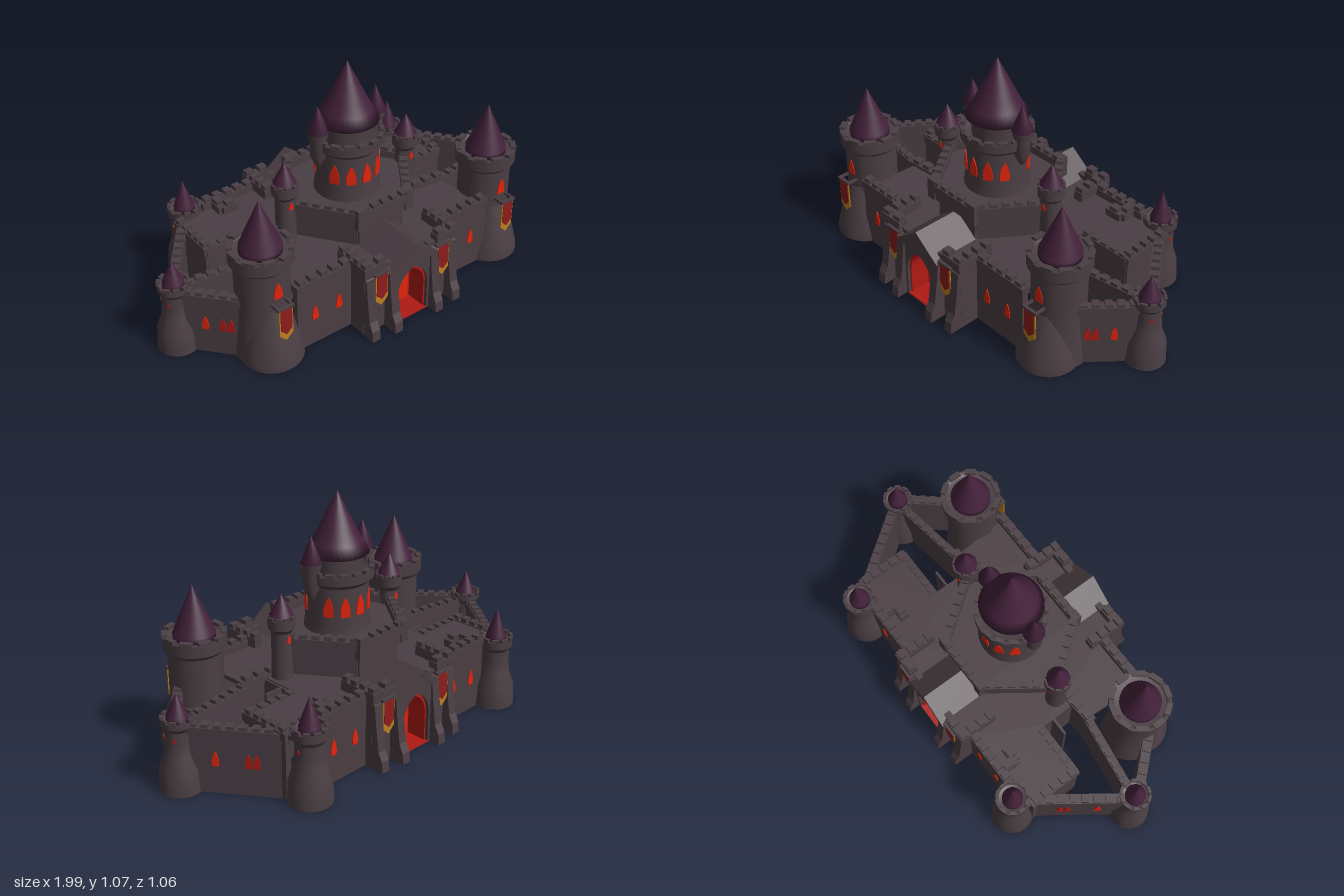
import * as THREE from 'three';

const mat = (name, color, side = THREE.FrontSide) => {
  const m = new THREE.MeshStandardMaterial({ color, side });
  m.name = name;
  return m;
};

export function createModel() {
  const root = new THREE.Group();
  root.name = 'castle';
  const stone = mat('stone', 0x4a3e43, THREE.DoubleSide);
  const roofMat = mat('purple roof', 0x43213a, THREE.DoubleSide);
  const glow = mat('red glow', 0xe2240c, THREE.DoubleSide);
  const ember = mat('deep red', 0xb01a14, THREE.DoubleSide);
  const cloth = mat('banner cloth', 0x8c1d1c);
  const gold = mat('gold trim', 0xbc801e);

  const add = (name, geo, m, x = 0, y = 0, z = 0, yaw = 0, parent = root) => {
    const mesh = new THREE.Mesh(geo, m);
    mesh.name = name;
    mesh.position.set(x, y, z);
    mesh.rotation.y = yaw;
    parent.add(mesh);
    return mesh;
  };
  const box = (name, w, h, d, m, x, y, z, yaw = 0, parent = root) =>
    add(name, new THREE.BoxGeometry(w, h, d), m, x, y, z, yaw, parent);
  const lathe = (pts, n = 28) => new THREE.LatheGeometry(pts.map(p => new THREE.Vector2(p[0], p[1])), n);
  const poly = pts => new THREE.Shape(pts.map(p => new THREE.Vector2(p[0], p[1])));
  const extrude = (shape, depth) => new THREE.ExtrudeGeometry(shape, { depth, bevelEnabled: false, curveSegments: 8 });

  // Pointed arch outline, standing on y = 0
  const arch = (w, h, Type = THREE.Shape) => {
    const s = new Type();
    s.moveTo(-w / 2, 0);
    s.lineTo(w / 2, 0);
    s.lineTo(w / 2, h * 0.55);
    s.quadraticCurveTo(w / 2, h * 0.86, 0, h);
    s.quadraticCurveTo(-w / 2, h * 0.86, -w / 2, h * 0.55);
    s.closePath();
    return s;
  };
  // Flame-shaped window, narrowing to a point
  const windowAt = (x, y, z, yaw, w = 0.03, h = 0.068, parent = root, m = glow) => {
    const s = new THREE.Shape();
    s.moveTo(-w * 0.45, 0);
    s.lineTo(w * 0.45, 0);
    s.quadraticCurveTo(w * 0.62, h * 0.5, 0, h);
    s.quadraticCurveTo(-w * 0.62, h * 0.5, -w * 0.45, 0);
    return add('window', extrude(s, 0.006), m, x, y, z, yaw, parent);
  };

  // Straight curtain wall with coping and merlons
  const wall = (name, [ax, az], [bx, bz], top, base = 0, t = 0.03, merlon = 0.02) => {
    const dx = bx - ax, dz = bz - az, len = Math.hypot(dx, dz);
    const g = new THREE.Group();
    g.name = name;
    g.position.set((ax + bx) / 2, 0, (az + bz) / 2);
    g.rotation.y = Math.atan2(-dz, dx);
    root.add(g);
    box('wallBody', len, top - base, t, stone, 0, (top + base) / 2, 0, 0, g);
    box('coping', len + 0.01, 0.035, t + 0.014, stone, 0, top - 0.0175, 0, 0, g);
    const n = Math.max(1, Math.round(len / 0.055));
    for (let i = 0; i < n; i++)
      box('merlon', len / n * 0.62, merlon, t + 0.006, stone, ((i + 0.5) / n - 0.5) * len, top + merlon / 2, 0, 0, g);
  };

  // Round tower: flared foot, corbelled rim, hollow parapet and cone
  const tower = (name, x, z, { y0 = 0, foot, body, rim, rimY, top, cone, tip, flare = 0.22 }) => {
    const g = new THREE.Group();
    g.name = name;
    g.position.set(x, 0, z);
    root.add(g);
    const f = y0 + flare;
    add('towerBody', lathe([[foot, y0], [foot * 0.98, y0 + flare * 0.12], [foot * 0.93, y0 + flare * 0.45],
      [body + (foot - body) * 0.15, y0 + flare * 0.75], [body, f], [body, rimY - 0.02]]), stone, 0, 0, 0, 0, g);
    add('towerRim', lathe([[body, rimY - 0.02], [rim, rimY]]), stone, 0, 0, 0, 0, g);
    add('rimWall', lathe([[rim, rimY], [rim, top - 0.012]]), stone, 0, 0, 0, 0, g);
    add('rimTop', lathe([[rim, top - 0.012], [rim * 0.83, top - 0.012], [rim * 0.83, top - 0.03], [0, top - 0.03]]), stone, 0, 0, 0, 0, g);
    const n = 10;
    for (let i = 0; i < n; i++) {
      const a = (i + 0.5) / n * Math.PI * 2, r = rim * 0.91;
      box('merlon', rim * 0.4, 0.014, rim * 0.18, stone, Math.sin(a) * r, top - 0.006, Math.cos(a) * r, a, g);
    }
    add('coneRoof', lathe([[0, top - 0.025], [cone, top - 0.025], [cone, top], [0, tip]]), roofMat, 0, 0, 0, 0, g);
    return g;
  };

  // Hanging banner with rod, gold border and heavy pointed tail
  const banner = (x, z, parent) => {
    const g = new THREE.Group();
    g.name = 'banner';
    g.position.set(x, 0, z);
    parent.add(g);
    const tail = (w, top, side, tip) => poly([[-w, top], [-w, side], [0, tip], [w, side], [w, top]]);
    add('bannerTrim', extrude(tail(0.033, 0.31, 0.178, 0.145), 0.005), gold, 0, 0, 0, 0, g);
    add('bannerCloth', extrude(tail(0.028, 0.31, 0.205, 0.178), 0.005), cloth, 0, 0, 0.003, 0, g);
    box('bannerRod', 0.08, 0.012, 0.014, stone, 0, 0.314, 0.002, 0, g);
    for (const s of [-1, 1]) box('rodBracket', 0.01, 0.012, 0.05, stone, s * 0.034, 0.314, -0.022, 0, g);
  };

  // Main roof deck
  const half = [[0.25, -0.46], [0.25, -0.41], [0.66, -0.41], [0.66, -0.13], [0.4, -0.13], [0.4, 0.05], [0.5, 0.06], [0.52, 0.35], [0.25, 0.35], [0.25, 0.46]];
  const outline = [...half, ...half.map(([x, z]) => [-x, z]).reverse()];
  const deck = extrude(poly(outline.map(([x, z]) => [x, -z])), 0.02);
  deck.rotateX(-Math.PI / 2);
  add('roofDeck', deck, stone, 0, 0.285, 0);

  for (const s of [-1, 1]) {
    const p = (x, z) => [s * x, z];
    // Walls around the deck
    wall('frontWall', p(0.25, 0.345), p(0.53, 0.345), 0.34);
    wall('backWall', p(0.25, -0.4), p(0.52, -0.4), 0.34);
    wall('courtWallFront', p(0.33, 0.05), p(0.52, 0.065), 0.32);
    wall('courtWallBack', p(0.4, -0.14), p(0.66, -0.14), 0.305, 0, 0.025, 0.012);
    wall('wingEndWall', p(0.655, -0.38), p(0.655, -0.13), 0.31);
    wall('wingStep', p(0.46, -0.4), p(0.46, -0.32), 0.34, 0.28);
    wall('wingParapet', p(0.39, -0.32), p(0.46, -0.32), 0.34, 0.28);
    box('courtWallSide', 0.02, 0.3, 0.19, stone, s * 0.4, 0.15, -0.045);
    box('courtLedge', 0.11, 0.3, 0.012, stone, s * 0.44, 0.15, -0.065);
    // Outer curtain walls, each with one single and one paired window
    wall('outerWallFront', p(0.89, 0.045), p(0.72, 0.24), 0.3, 0, 0.03, 0.015);
    wall('outerWallBack', p(0.89, -0.03), p(0.64, -0.37), 0.3, 0, 0.03, 0.015);
    wall('innerCurtain', p(0.5, 0.06), p(0.87, 0.005), 0.3, 0, 0.025, 0.015);
    const fy = Math.atan2(0.195, 0.17), by = Math.PI - Math.atan2(0.34, 0.25);
    windowAt(s * 0.838, 0.13, 0.131, s * fy);
    windowAt(s * 0.832, 0.13, -0.136, s * by);
    for (const k of [-0.017, 0.017]) {
      windowAt(s * (0.776 + k * 0.66), 0.13, 0.202 - k * 0.75, s * fy, 0.03, 0.066, root, ember);
      windowAt(s * (0.741 + k * 0.59), 0.13, -0.26 + k * 0.81, s * by, 0.03, 0.066, root, ember);
    }
    for (const x of [0.315, 0.44]) {
      windowAt(s * x, 0.132, 0.358, 0, 0.032, 0.075);
      windowAt(s * x, 0.132, -0.413, Math.PI, 0.032, 0.075);
    }

    // Corner, side and inner towers
    const big = tower('frontTower', s * 0.62, 0.24, { foot: 0.138, body: 0.119, rim: 0.138, rimY: 0.47, top: 0.535, cone: 0.092, tip: 0.747, flare: 0.26 });
    add('footBulge', lathe([[0.138, 0], [0.136, 0.03], [0.124, 0.08], [0.106, 0.15], [0.07, 0.27]]), stone, 0, 0, 0.055, 0, big);
    banner(0, 0.165, big);
    windowAt(0, 0.33, 0.1145, 0, 0.042, 0.08, big);
    const back = tower('backTower', s * 0.59, -0.435, { foot: 0.098, body: 0.064, rim: 0.076, rimY: 0.295, top: 0.34, cone: 0.047, tip: 0.47 });
    const side = tower('sideTower', s * 0.905, 0.005, { foot: 0.092, body: 0.056, rim: 0.07, rimY: 0.3, top: 0.335, cone: 0.046, tip: 0.435 });
    const inner = tower('innerTurret', s * 0.335, 0.005, { y0: 0.28, foot: 0.05, body: 0.046, rim: 0.06, rimY: 0.54, top: 0.595, cone: 0.052, tip: 0.692, flare: 0.1 });
    for (const yaw of [0, Math.PI]) windowAt(0, 0.475, Math.cos(yaw) * 0.042, yaw, 0.022, 0.038, inner);
    windowAt(s * 0.06, 0.235, 0, s * Math.PI / 2, 0.014, 0.02, back, ember);
    for (const a of [0.95, 2.19])
      windowAt(s * Math.sin(a) * 0.052, 0.235, Math.cos(a) * 0.052, s * a, 0.014, 0.02, side, ember);
  }

  // Gatehouse, used at the front and at the back
  for (const yaw of [0, Math.PI]) {
    const g = new THREE.Group();
    g.name = yaw ? 'backGate' : 'frontGate';
    g.rotation.y = yaw;
    root.add(g);
    const portal = poly([[-0.105, 0], [0.105, 0], [0.105, 0.3], [0, 0.385], [-0.105, 0.3]]);
    portal.holes.push(arch(0.165, 0.27, THREE.Path));
    add('gatePortal', extrude(portal, 0.085), stone, 0, 0, 0.39, 0, g);
    // Glowing doorway at the end of a red-lit passage
    const lining = arch(0.165, 0.27);
    lining.holes.push(arch(0.15, 0.255, THREE.Path));
    add('gateLining', extrude(lining, 0.1), ember, 0, 0, 0.36, 0, g);
    add('gateGlow', new THREE.ShapeGeometry(arch(0.155, 0.26)), ember, 0, 0, 0.365, 0, g);
    add('gateGlowCentre', extrude(arch(0.125, 0.215), 0.004), glow, 0, 0, 0.367, 0, g);
    box('gateFloor', 0.19, 0.006, 0.22, ember, 0, 0.004, 0.365, 0, g);
    // Gable roof running back to the keep
    const gable = poly([[-0.135, 0.295], [-0.105, 0.278], [0, 0.368], [0.105, 0.278], [0.135, 0.295], [0, 0.398]]);
    add('gateGable', extrude(gable, 0.235), stone, 0, 0, 0.25, 0, g);
    // Gate flanks, parapets and stepped buttresses
    for (const s of [-1, 1]) {
      box('gateFlank', 0.15, 0.33, 0.03, stone, s * 0.175, 0.165, 0.435, 0, g);
      box('gateReturn', 0.03, 0.33, 0.12, stone, s * 0.235, 0.165, 0.39, 0, g);
      box('gateCoping', 0.1, 0.045, 0.045, stone, s * 0.19, 0.335, 0.442, 0, g);
      box('returnCoping', 0.045, 0.045, 0.19, stone, s * 0.235, 0.335, 0.37, 0, g);
      for (const z of [0.295, 0.345, 0.395, 0.445])
        box('gateMerlon', 0.04, 0.024, 0.03, stone, s * 0.235, 0.368, z, 0, g);
      box('gateMerlon', 0.04, 0.024, 0.035, stone, s * 0.165, 0.368, 0.442, 0, g);
      for (const [x, d] of [[0.115, 0], [0.228, -0.015]]) {
        const b = extrude(poly([[0.42, 0], [0.53 + d, 0], [0.525 + d, 0.05], [0.505 + d, 0.09], [0.49 + d, 0.2], [0.48 + d, 0.3], [0.42, 0.32]]), 0.042);
        b.rotateY(-Math.PI / 2);
        add('buttress', b, stone, s * x + 0.021, 0, 0, 0, g);
      }
      banner(s * 0.172, 0.468, g);
    }
  }

  // Keep terrace: round footing, hexagonal drum and overhanging parapet
  const hex = [[0.325, 0], [0.13, 0.265], [-0.13, 0.265], [-0.325, 0], [-0.13, -0.265], [0.13, -0.265]];
  const terrace = extrude(poly(hex), 0.02);
  terrace.rotateX(-Math.PI / 2);
  add('terraceFloor', terrace, stone, 0, 0.43, 0);
  add('terraceFooting', lathe([[0.255, 0], [0.255, 0.29]], 32), stone);
  const inset = ([x, z]) => [x * 0.9, z * 0.9];
  hex.forEach((a, i) => {
    const b = hex[(i + 1) % 6], [ax, az] = inset(a), [bx, bz] = inset(b);
    wall('terraceParapet', a, b, 0.49, 0.41, 0.026, 0.018);
    box('terraceDrum', Math.hypot(bx - ax, bz - az), 0.15, 0.02, stone, (ax + bx) / 2, 0.355, (az + bz) / 2, Math.atan2(az - bz, bx - ax));
  });
  for (const [x, z] of hex) if (x * x < 0.1)
    box('terracePier', 0.045, 0.1, 0.04, stone, x, 0.46, z);

  // Central keep tower with flared roof
  const keep = new THREE.Group();
  keep.name = 'keep';
  keep.position.z = 0.006;
  root.add(keep);
  add('keepBody', lathe([[0.15, 0.45], [0.143, 0.5], [0.14, 0.665]], 36), stone, 0, 0, 0, 0, keep);
  add('keepCorbel', lathe([[0.14, 0.665], [0.163, 0.688]], 36), stone, 0, 0, 0, 0, keep);
  add('keepRim', lathe([[0.163, 0.688], [0.163, 0.725]], 36), stone, 0, 0, 0, 0, keep);
  add('keepRimTop', lathe([[0.163, 0.725], [0.142, 0.725], [0.142, 0.7], [0.1, 0.7]], 36), stone, 0, 0, 0, 0, keep);
  add('keepLantern', lathe([[0.112, 0.7], [0.112, 0.797]], 36), stone, 0, 0, 0, 0, keep);
  add('keepRoof', lathe([[0.05, 0.797], [0.141, 0.795], [0.111, 0.845], [0.083, 0.9], [0.042, 0.985], [0, 1.07]], 36), roofMat, 0, 0, 0, 0, keep);
  for (let i = 0; i < 16; i++) {
    const a = (i + 0.5) / 16 * Math.PI * 2;
    box('keepMerlon', 0.04, 0.016, 0.02, stone, Math.sin(a) * 0.153, 0.731, Math.cos(a) * 0.153, a, keep);
  }
  for (const turn of [0, Math.PI]) for (const deg of [-60, -30, 0, 30, 60]) {
    const a = turn + deg * Math.PI / 180;
    windowAt(Math.sin(a) * 0.1385, 0.535, Math.cos(a) * 0.1385, a, 0.046, 0.095, keep);
  }
  // Small turrets on the sides of the keep
  for (const s of [-1, 1]) {
    add('keepTurret', lathe([[0.012, 0.61], [0.036, 0.66], [0.036, 0.74], [0.043, 0.755], [0.043, 0.782]], 20), stone, s * 0.156, 0, 0, 0, keep);
    add('keepTurretRoof', lathe([[0, 0.78], [0.049, 0.78], [0, 0.902]], 20), roofMat, s * 0.156, 0, 0, 0, keep);
  }
  return root;
}
